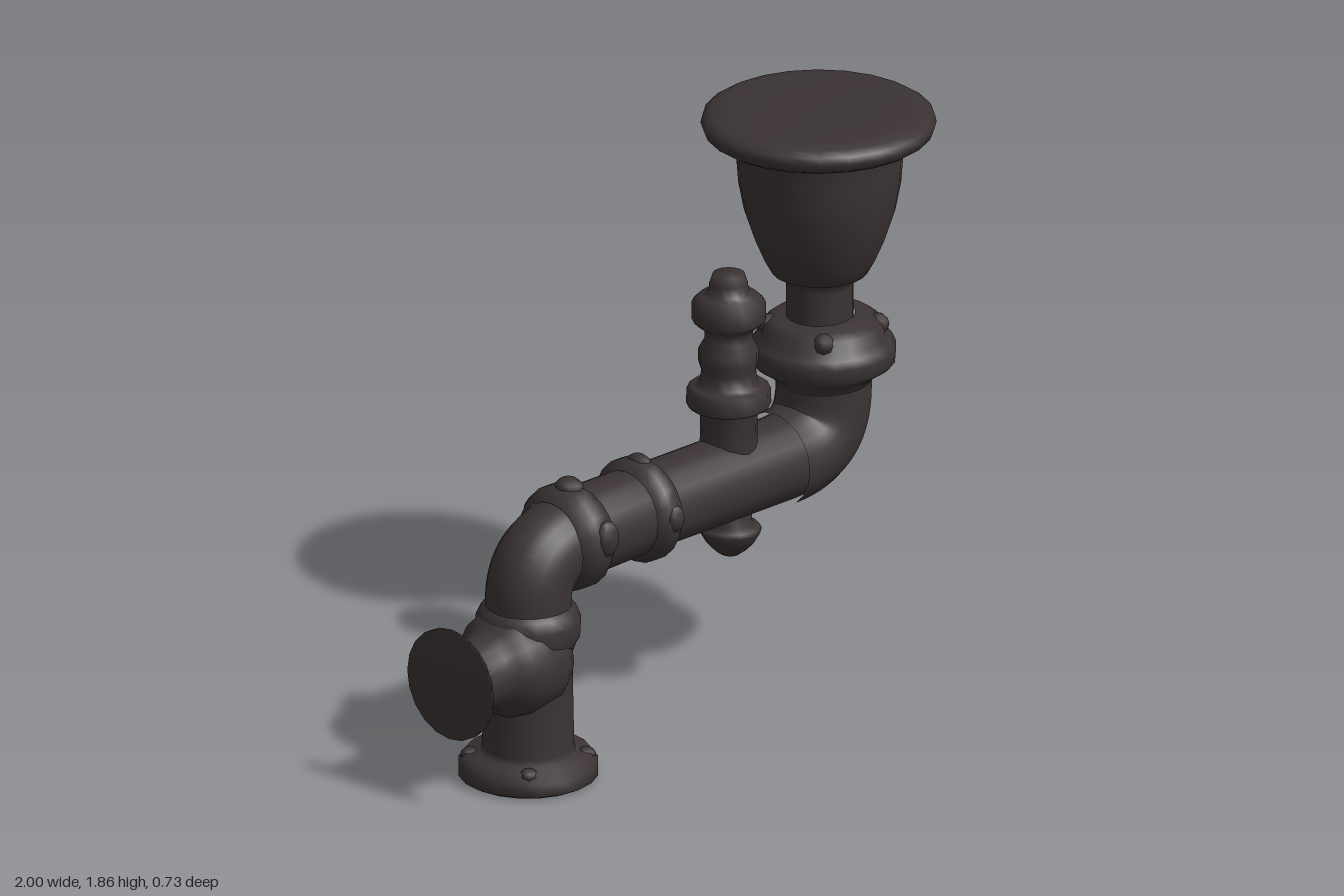
import * as THREE from 'three';

export function createModel() {
  const model = new THREE.Group();
  const iron = new THREE.MeshStandardMaterial({ color: 0x3b3333 });
  iron.name = 'darkIron';

  const add = (name, geometry, x = 0, y = 0, z = 0) => {
    const mesh = new THREE.Mesh(geometry, iron);
    mesh.name = name;
    mesh.position.set(x, y, z);
    model.add(mesh);
    return mesh;
  };
  // Turned part from [radius, height] pairs, bottom to top
  const turned = (name, profile, x, y = 0, sides = 20) =>
    add(name, new THREE.LatheGeometry(profile.map(([r, h]) => new THREE.Vector2(r, h)), sides), x, y);
  // Small cast lug sitting on a collar
  const lug = (name, x, y, z, s) => {
    const mesh = add(name, new THREE.SphereGeometry(1, 8, 6), x, y, z);
    mesh.scale.set(...s);
  };

  // Main S-shaped pipe: standing leg, elbow, level run, elbow
  const V = (x, y) => new THREE.Vector3(x, y, 0);
  const path = new THREE.CurvePath();
  path.add(new THREE.LineCurve3(V(-0.65, 0.48), V(-0.65, 0.58)));
  path.add(new THREE.CubicBezierCurve3(V(-0.65, 0.58), V(-0.65, 0.70), V(-0.58, 0.75), V(-0.45, 0.75)));
  path.add(new THREE.LineCurve3(V(-0.45, 0.75), V(0.44, 0.74)));
  path.add(new THREE.CubicBezierCurve3(V(0.44, 0.74), V(0.6, 0.74), V(0.655, 0.8), V(0.655, 0.94)));
  path.add(new THREE.LineCurve3(V(0.655, 0.94), V(0.655, 1.02)));
  add('mainPipe', new THREE.TubeGeometry(path, 90, 0.135, 20));

  // Thicker wall at the right elbow
  const elbow = new THREE.CurvePath();
  elbow.add(path.curves[3]);
  elbow.add(path.curves[4]);
  add('rightElbow', new THREE.TubeGeometry(elbow, 24, 0.15, 20));

  // Standing leg with floor flange and upper collar
  turned('standingLeg', [
    [0, 0.005], [0.2, 0.005], [0.218, 0.015], [0.218, 0.055], [0.195, 0.085], [0.15, 0.09],
    [0.144, 0.11], [0.138, 0.42], [0.15, 0.455], [0.162, 0.475], [0.165, 0.53], [0.15, 0.565], [0.13, 0.58],
  ], -0.65);
  for (let i = 0; i < 4; i++) {
    const a = Math.PI / 4 + i * Math.PI / 2;
    lug('flangeBolt', -0.65 + 0.18 * Math.cos(a), 0.075, 0.18 * Math.sin(a), [0.03, 0.022, 0.03]);
  }

  // Side branch with thin end flange, pointing to -x
  const branch = turned('sideBranch', [
    [0, 0], [0.18, 0], [0.18, 0.016], [0.125, 0.022], [0.118, 0.04], [0.118, 0.15],
    [0.135, 0.185], [0.165, 0.215], [0.175, 0.26], [0.17, 0.36], [0.14, 0.41], [0, 0.42],
  ], -1, 0.405);
  branch.rotation.z = -Math.PI / 2;

  // Collars around the level run
  const collar = (name, x, profile) => {
    turned(name, profile, x, 0.75).rotation.z = -Math.PI / 2;
  };
  collar('elbowCollar', -0.48, [[0.13, -0.07], [0.155, -0.05], [0.17, -0.02], [0.17, 0.03], [0.145, 0.065], [0.13, 0.075]]);
  collar('pipeSleeve', -0.3, [[0.13, -0.15], [0.142, -0.13], [0.138, 0.13], [0.13, 0.15]]);
  collar('middleCollar', -0.165, [[0.13, -0.06], [0.148, -0.045], [0.168, -0.02], [0.168, 0.02], [0.15, 0.045], [0.13, 0.06]]);
  lug('elbowLug', -0.47, 0.91, 0, [0.045, 0.035, 0.05]);
  lug('elbowLug', -0.47, 0.61, 0, [0.045, 0.03, 0.05]);
  for (const s of [-1, 1]) lug('elbowLug', -0.46, 0.78, s * 0.155, [0.045, 0.06, 0.032]);
  lug('middleLug', -0.16, 0.905, 0, [0.03, 0.028, 0.045]);
  for (const s of [-1, 1]) lug('middleLug', -0.16, 0.76, s * 0.155, [0.035, 0.045, 0.026]);

  // Union nut under the funnel
  turned('unionNut', [
    [0.14, 0.93], [0.16, 0.97], [0.205, 1.0], [0.224, 1.015], [0.228, 1.06], [0.218, 1.085],
    [0.195, 1.1], [0.185, 1.14], [0.16, 1.16], [0.1, 1.17],
  ], 0.652);
  for (let i = 0; i < 4; i++) {
    const a = Math.PI / 4 + i * Math.PI / 2;
    lug('unionLug', 0.652 + 0.17 * Math.cos(a), 1.13, 0.17 * Math.sin(a), [0.035, 0.035, 0.035]);
  }

  // Cup-shaped funnel with its neck
  turned('funnel', [
    [0.104, 1.12], [0.104, 1.27], [0.112, 1.3], [0.15, 1.315], [0.175, 1.36], [0.205, 1.43],
    [0.235, 1.52], [0.252, 1.61], [0.258, 1.69], [0.262, 1.75], [0.275, 1.79],
  ], 0.637, 0, 24);

  // Closed lid with a rounded rim
  turned('lid', [
    [0, 1.772], [0.335, 1.772], [0.355, 1.785], [0.365, 1.81], [0.36, 1.832],
    [0.335, 1.848], [0.29, 1.857], [0.15, 1.863], [0, 1.865],
  ], 0.632, 0, 24);

  // Valve standing on the level run
  turned('valve', [
    [0.09, 0.82], [0.088, 0.975], [0.122, 0.98], [0.132, 0.99], [0.13, 1.04], [0.115, 1.052], [0.09, 1.055],
    [0.085, 1.1], [0.094, 1.13], [0.094, 1.17], [0.075, 1.205], [0.075, 1.235], [0.1, 1.255],
    [0.115, 1.27], [0.115, 1.325], [0.09, 1.35], [0.062, 1.357], [0.06, 1.39], [0.05, 1.42], [0, 1.422],
  ], 0.235, 0, 16);

  // Drain plug below the run
  turned('drainPlug', [
    [0, 0.483], [0.03, 0.485], [0.05, 0.5], [0.075, 0.525], [0.098, 0.565], [0.092, 0.578],
    [0.068, 0.588], [0.068, 0.66],
  ], 0.242, 0, 14);

  return model;
}
